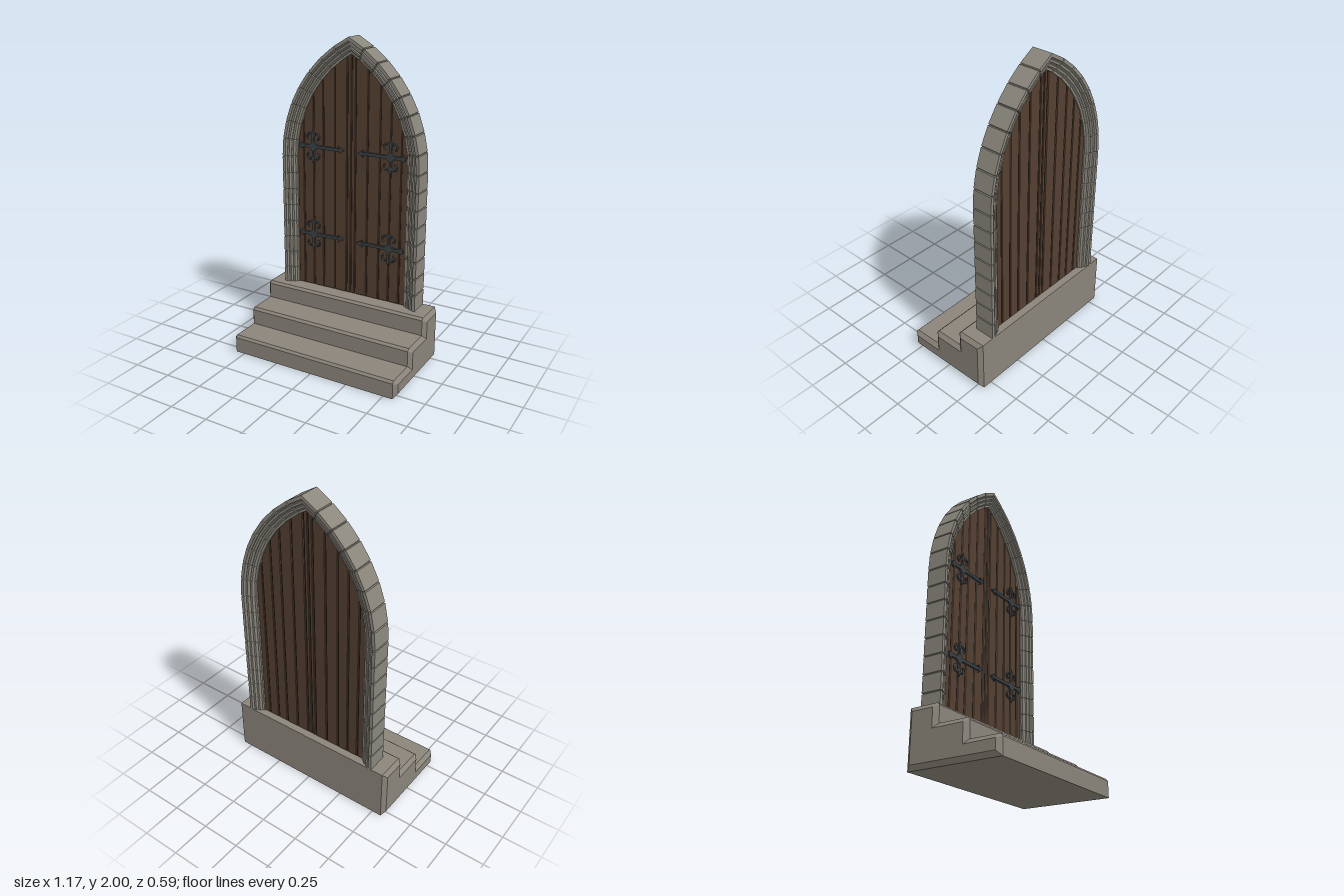
import * as THREE from 'three';

const stepStone = new THREE.MeshStandardMaterial({ color: 0x8a847a });
stepStone.name = 'step stone';
const archStone = new THREE.MeshStandardMaterial({ color: 0x8a867c });
archStone.name = 'arch stone';
const wood = new THREE.MeshStandardMaterial({ color: 0x533f30 });
wood.name = 'wood';
const darkWood = new THREE.MeshStandardMaterial({ color: 0x32251c });
darkWood.name = 'dark wood';
const iron = new THREE.MeshStandardMaterial({ color: 0x3a4045 });
iron.name = 'iron';

const BASE = 0.345, SPRING = 1.22, CENTRE = 0.394, INNER = 0.784, DOOR_Z = -0.23;
const COURSES = 8; // stones in each jamb, and in each half of the arch
const ARC = Math.acos(CENTRE / (INNER + 0.09));

function add(parent, name, geometry, material, x = 0, y = 0, z = 0) {
  const mesh = new THREE.Mesh(geometry, material);
  mesh.name = name;
  mesh.position.set(x, y, z);
  parent.add(mesh);
  return mesh;
}

function polygon(points) {
  return new THREE.Shape(points.map(([x, y]) => new THREE.Vector2(x, y)));
}

// Three chamfered steps: a stair profile extruded across the width
function stepsGeometry() {
  const profile = polygon([
    [-0.295, 0], [0.298, 0], [0.298, 0.1], [0.285, 0.115], [0.1, 0.115], [0.1, 0.215],
    [0.085, 0.23], [-0.1, 0.23], [-0.1, 0.33], [-0.115, 0.345], [-0.295, 0.345],
  ]);
  const bevel = 0.022, width = 1.168;
  const g = new THREE.ExtrudeGeometry(profile, {
    depth: width - 2 * bevel, bevelThickness: bevel, bevelSize: 0.028, bevelOffset: -0.028, bevelSegments: 1,
  });
  g.translate(0, 0, bevel - width / 2);
  g.rotateY(-Math.PI / 2);
  return g;
}

// Point on the pointed arch; t counts stones up from the base
function archPoint(t, r) {
  if (t <= COURSES) return [r - CENTRE, BASE - 0.005 + (t / COURSES) * (SPRING - BASE + 0.005)];
  const a = Math.min(((t - COURSES) / COURSES) * ARC, Math.acos(CENTRE / r));
  return [r * Math.cos(a) - CENTRE, SPRING + r * Math.sin(a)];
}

// One half of the moulded frame, swept along the arch with a groove at each joint
function frameGeometry(side) {
  const front = [
    [0.09, 0.066], [0.07, 0.066], [0.063, 0.052], [0.058, 0.058], [0.046, 0.057],
    [0.039, 0.041], [0.034, 0.047], [0.022, 0.045], [0.014, 0.03], [0, 0.028],
  ];
  const section = [...front, ...front.slice().reverse().map(([u, z]) => [u, -z])];
  const rings = [];
  const ring = (t, cut) => rings.push(section.map(([u, z]) => {
    const [x, y] = archPoint(t, INNER + u - (u > 0.08 ? cut : 0));
    return [side * x, y, DOOR_Z + z - Math.sign(z) * cut];
  }));
  for (let i = 0; i <= 2 * COURSES; i++) {
    const end = i === 0 || i === 2 * COURSES;
    if (i > 0) ring(i - 0.04, 0);
    ring(i, end ? 0 : 0.005);
    if (i < 2 * COURSES) ring(i + 0.04, 0);
  }
  const pos = [];
  const n = section.length;
  for (let i = 0; i < rings.length - 1; i++) {
    for (let j = 0; j < n; j++) {
      const a = rings[i][j], b = rings[i][(j + 1) % n];
      const d = rings[i + 1][j], c = rings[i + 1][(j + 1) % n];
      const corners = side > 0 ? [a, d, c, a, c, b] : [a, c, d, a, b, c];
      corners.forEach((p) => pos.push(...p));
    }
  }
  const g = new THREE.BufferGeometry();
  g.setAttribute('position', new THREE.Float32BufferAttribute(pos, 3));
  g.computeVertexNormals();
  return g;
}

// Vertical board between x0 and x1 whose top follows the arch
function boardGeometry(x0, x1, depth, bevel) {
  const points = [[x0, BASE], [x1, BASE]];
  const cuts = 16;
  for (let i = 0; i <= cuts; i++) {
    const x = x1 + ((x0 - x1) * i) / cuts;
    const reach = Math.abs(x) + CENTRE, r = INNER + 0.006;
    points.push([x, SPRING + Math.sqrt(Math.max(0, r * r - reach * reach))]);
  }
  const g = new THREE.ExtrudeGeometry(polygon(points), {
    depth: depth - 2 * bevel, bevelEnabled: bevel > 0, bevelThickness: bevel,
    bevelSize: bevel, bevelOffset: -bevel, bevelSegments: 1,
  });
  g.translate(0, 0, bevel - depth / 2);
  return g;
}

// Strap hinge with an arrow tip and a scrolled cross, pointing to -x
function createHinge() {
  const hinge = new THREE.Group();
  hinge.name = 'strapHinge';
  const plate = (name, points) => add(hinge, name,
    new THREE.ExtrudeGeometry(polygon(points), { depth: 0.014, bevelEnabled: false }), iron);
  add(hinge, 'strap', new THREE.BoxGeometry(0.28, 0.02, 0.014), iron, 0.02, 0, 0.007);
  plate('arrowTip', [[-0.165, 0], [-0.125, -0.024], [-0.132, -0.008], [-0.1, 0], [-0.132, 0.008], [-0.125, 0.024]]);
  plate('strapEnd', [[0.125, 0], [0.145, -0.022], [0.16, -0.012], [0.16, 0.012], [0.145, 0.022]]);
  plate('crossBoss', [[0.02, 0], [0.06, -0.035], [0.1, 0], [0.06, 0.035]]);
  for (const s of [1, -1]) {
    add(hinge, 'stem', new THREE.BoxGeometry(0.014, 0.06, 0.014), iron, 0.06, s * 0.045, 0.007);
    const leaf = [[0.048, 0.085], [0.06, 0.065], [0.072, 0.085], [0.06, 0.108]].map(([x, y]) => [x, s * y]);
    plate('leafTip', leaf);
    for (const e of [1, -1]) {
      const start = (e > 0 ? -0.4 : 0) + (s > 0 ? 0 : (e > 0 ? 0.4 : -0.4));
      const scroll = add(hinge, 'scroll', new THREE.TorusGeometry(0.019, 0.006, 6, 14, 1.4 * Math.PI), iron,
        0.06 + e * 0.025, s * 0.063, 0.007);
      // lower scrolls mirror the upper ones
      scroll.rotation.z = (s > 0 ? start : (e > 0 ? -1 : 0.6)) * Math.PI;
    }
  }
  return hinge;
}

export function createModel() {
  const model = new THREE.Group();
  model.name = 'archedDoorway';
  add(model, 'steps', stepsGeometry(), stepStone);

  // Stone frame and door leaves, mirrored
  const planks = [[0, 0.03], [0.03, 0.115], [0.115, 0.2], [0.2, 0.272], [0.272, 0.345], [0.345, 0.394]];
  const gap = 0.0025;
  for (const side of [1, -1]) {
    const label = side > 0 ? 'left' : 'right';
    add(model, label + 'Frame', frameGeometry(side), archStone);
    const leaf = new THREE.Group();
    leaf.name = label + 'DoorLeaf';
    leaf.position.z = DOOR_Z;
    model.add(leaf);
    for (const [a, b] of planks) {
      const lo = side > 0 ? a + gap : -b + gap, hi = side > 0 ? b - gap : -a - gap;
      add(leaf, 'plank', boardGeometry(lo, hi, 0.04, 0.004), wood);
    }
    const [lo, hi] = side > 0 ? [0, 0.393] : [-0.393, 0];
    add(leaf, 'plankBacking', boardGeometry(lo, hi, 0.026, 0), darkWood);

    // Iron hinges on the front
    for (const y of [0.71, 1.3]) {
      const hinge = createHinge();
      hinge.position.set(side * 0.212, y, DOOR_Z + 0.019);
      if (side < 0) hinge.rotation.z = Math.PI;
      model.add(hinge);
    }
  }
  return model;
}
